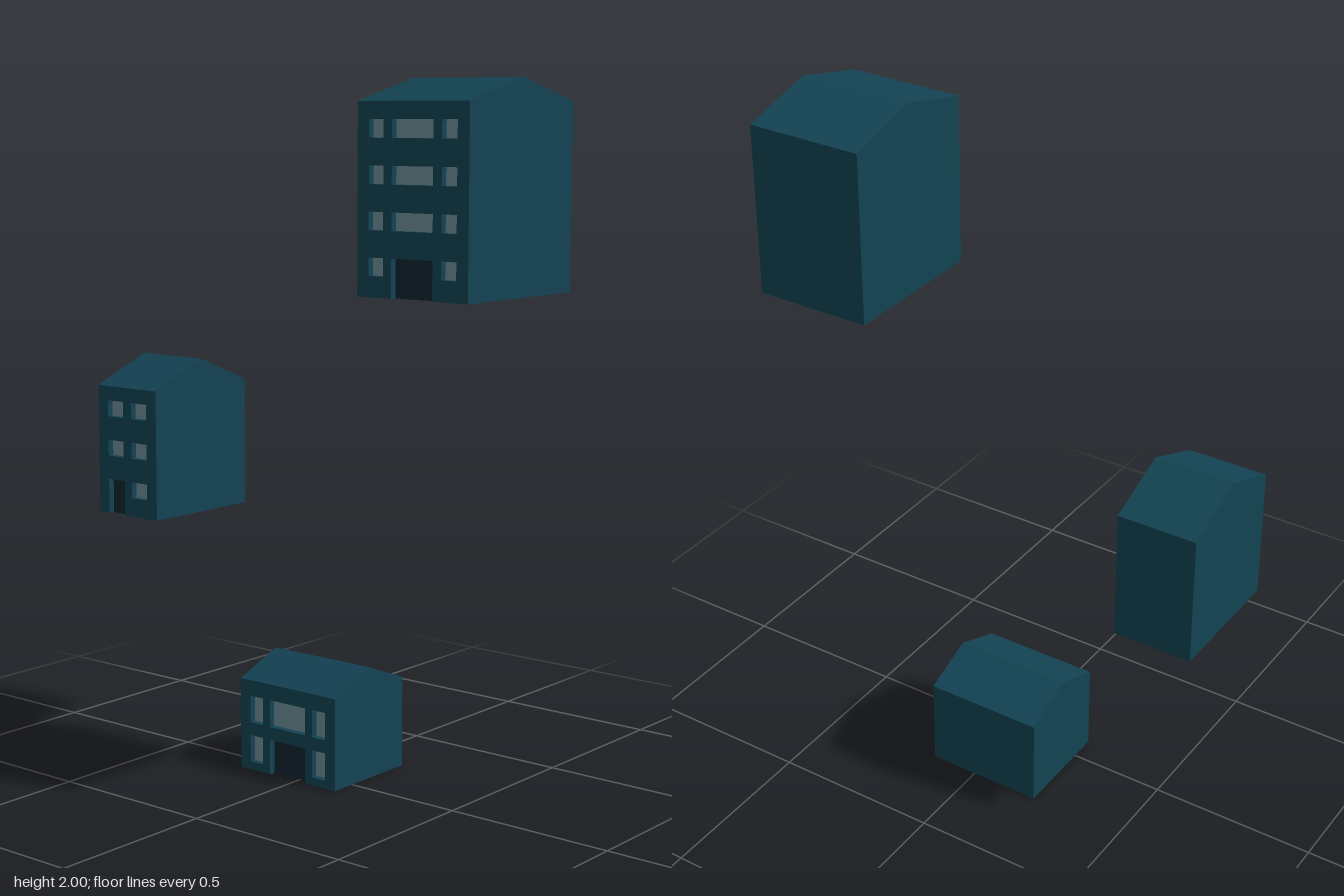
import * as THREE from 'three';

const wallMat = new THREE.MeshStandardMaterial({ color: 0x134353 });
const glassMat = new THREE.MeshStandardMaterial({ color: 0x6f909a });
const doorMat = new THREE.MeshStandardMaterial({ color: 0x0f272f });

const BACK = -0.235;   // all houses share one back plane
const RECESS = 0.02;   // depth of window and door openings
const PITCH = 0.119;   // storey height

function polygon(points) {
  return new THREE.Shape(points.map(([x, y]) => new THREE.Vector2(x, y)));
}

function add(group, name, geometry, material) {
  const mesh = new THREE.Mesh(geometry, material);
  mesh.name = name;
  group.add(mesh);
  return mesh;
}

// Openings are [x0, x1, y0, y1], relative to the base centre of the facade
function createHouse({ name, x, y, width, eave, ridge, front, door, windows }) {
  const house = new THREE.Group();
  house.name = name;
  house.position.set(x, y, 0);
  const h = width / 2;
  const inner = front - RECESS;

  // Gabled body, profile in z/y swept along x; the wall sits back behind the facade
  const profile = polygon([
    [BACK, 0], [inner, 0], [inner, eave], [front, eave],
    [(front + BACK) / 2, ridge], [BACK, eave],
  ]);
  const body = new THREE.ExtrudeGeometry(profile, { depth: width, bevelEnabled: false });
  body.translate(0, 0, -h).rotateY(-Math.PI / 2);
  add(house, 'gabledBody', body, wallMat);

  // Facade slab with a door notch and window holes
  const [d0, d1, , dTop] = door;
  const facade = polygon([
    [-h, 0], [d0, 0], [d0, dTop], [d1, dTop], [d1, 0], [h, 0], [h, eave], [-h, eave],
  ]);
  for (const [x0, x1, y0, y1] of windows) {
    facade.holes.push(polygon([[x0, y0], [x0, y1], [x1, y1], [x1, y0]]));
  }
  const slab = new THREE.ExtrudeGeometry(facade, { depth: RECESS, bevelEnabled: false });
  add(house, 'facade', slab.translate(0, 0, inner), wallMat);

  // Panels at the back of the openings
  const panel = (label, [x0, x1, y0, y1], material) => {
    const plane = new THREE.PlaneGeometry(x1 - x0, y1 - y0);
    add(house, label, plane, material)
      .position.set((x0 + x1) / 2, (y0 + y1) / 2, inner + 0.001);
  };
  windows.forEach((w) => panel('windowPane', w, glassMat));
  panel('door', door, doorMat);
  return house;
}

// Rows of windows; the columns used on the ground floor differ because of the door
function windowGrid(storeys, columns, groundColumns, bottom, height) {
  const out = [];
  for (let i = 0; i < storeys; i++) {
    for (const [x0, x1] of i === 0 ? groundColumns : columns) {
      const y0 = bottom + i * PITCH;
      out.push([x0, x1, y0, y0 + height]);
    }
  }
  return out;
}

export function createModel() {
  const model = new THREE.Group();
  model.name = 'houses';

  const sides = [[-0.141, -0.093], [0.093, 0.141]];
  const wide = [...sides, [-0.066, 0.066]];
  const narrow = [[-0.079, -0.016], [0.016, 0.079]];
  const wideDoor = [-0.066, 0.066, 0, 0.104];

  model.add(
    createHouse({
      name: 'lowHouse', x: -0.033, y: 0, width: 0.356, eave: 0.27, ridge: 0.331,
      front: 0.078, door: wideDoor, windows: windowGrid(2, wide, sides, 0.024, 0.08),
    }),
    createHouse({
      name: 'narrowHouse', x: -0.587, y: 0.718, width: 0.236, eave: 0.385, ridge: 0.464,
      front: 0.157, door: [-0.079, -0.013, 0, 0.104],
      windows: windowGrid(3, narrow, [narrow[1]], 0.056, 0.048),
    }),
    createHouse({
      name: 'tallHouse', x: 0.523, y: 1.432, width: 0.356, eave: 0.507, ridge: 0.568,
      front: 0.235, door: wideDoor, windows: windowGrid(4, wide, sides, 0.056, 0.048),
    }),
  );
  return model;
}
